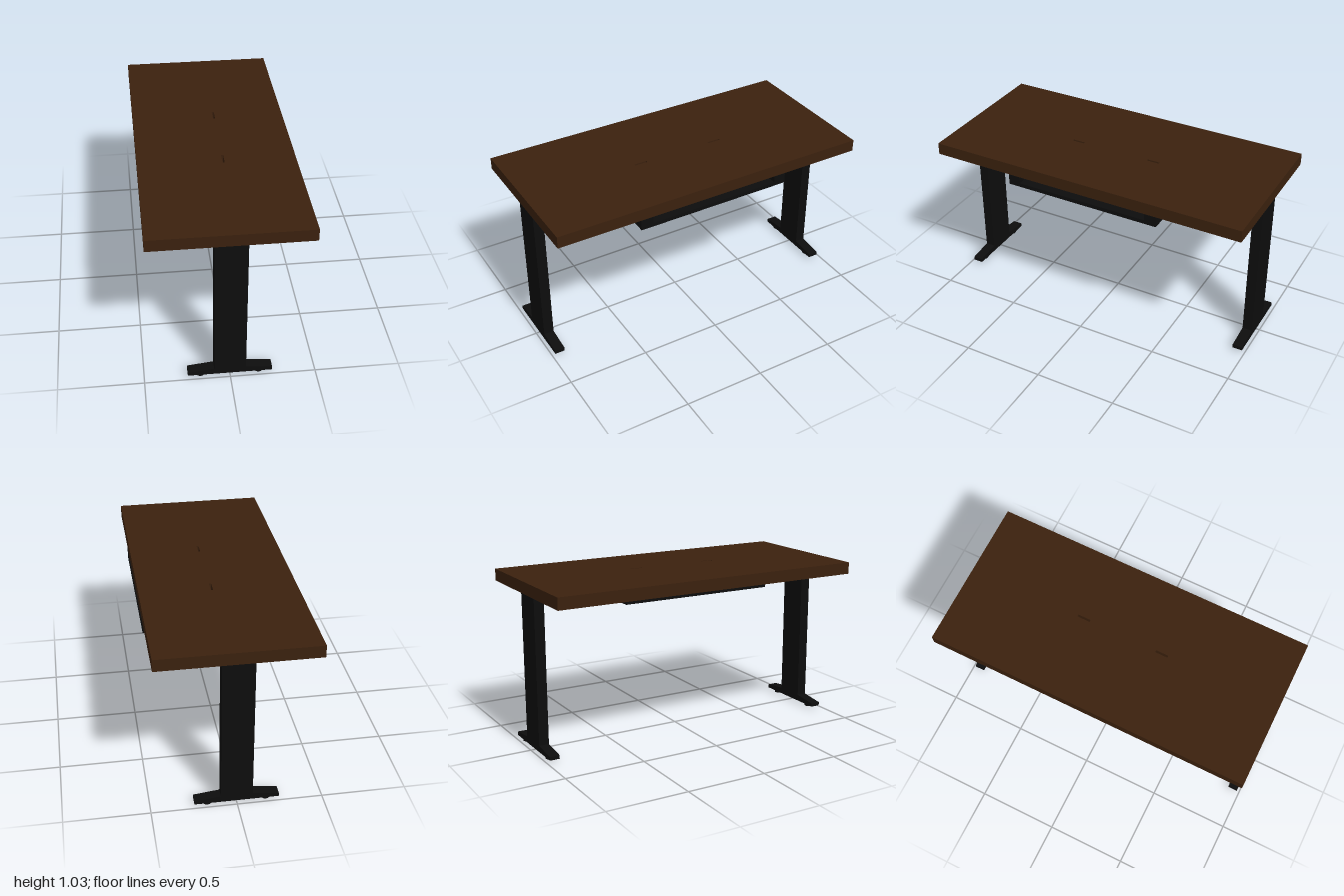
import * as THREE from 'three';

export function createModel() {
  const wood = new THREE.MeshStandardMaterial({ name: 'darkWood', color: 0x3b210e });
  const metal = new THREE.MeshStandardMaterial({ name: 'blackMetal', color: 0x0d0d0d });
  const model = new THREE.Group();
  model.name = 'desk';

  const add = (parent, name, geometry, material, x, y, z) => {
    const mesh = new THREE.Mesh(geometry, material);
    mesh.name = name;
    mesh.position.set(x, y, z);
    parent.add(mesh);
    return mesh;
  };
  const polygon = (points) => new THREE.Shape(points.map(([x, y]) => new THREE.Vector2(x, y)));
  const rect = (x0, y0, x1, y1) => [[x0, y0], [x1, y0], [x1, y1], [x0, y1]];

  // Table top with two narrow slots
  const outline = polygon(rect(-0.468, -1, 0.465, 1));
  for (const z of [-0.255, 0.255]) {
    outline.holes.push(polygon(rect(0.03, z - 0.04, 0.043, z + 0.04)));
  }
  const topGeometry = new THREE.ExtrudeGeometry(outline, { depth: 0.073, bevelEnabled: false });
  topGeometry.rotateX(-Math.PI / 2);
  add(model, 'tableTop', topGeometry, wood, 0, 0.955, 0);

  // Shallow tray under the top: floor between two side rails, open at both ends
  const tray = new THREE.Group();
  tray.name = 'tray';
  model.add(tray);
  add(tray, 'trayFloor', new THREE.BoxGeometry(0.746, 0.024, 0.84), metal, 0.093, 0.902, 0);
  for (const side of [-1, 1]) {
    add(tray, 'trayRail', new THREE.BoxGeometry(0.746, 0.065, 0.075), metal, 0.093, 0.9225, side * 0.451);
  }

  // Leg assemblies at both ends: column, sloped foot and round pads
  const footShape = polygon([
    [-0.247, 0.015], [0.247, 0.015], [0.247, 0.037],
    [0.093, 0.055], [-0.093, 0.055], [-0.247, 0.037],
  ]);
  const footGeometry = new THREE.ExtrudeGeometry(footShape, { depth: 0.062, bevelEnabled: false });
  footGeometry.translate(0, 0, -0.031);
  const columnGeometry = new THREE.BoxGeometry(0.186, 0.905, 0.062);
  const padGeometry = new THREE.CylinderGeometry(0.025, 0.025, 0.015, 24);
  for (const side of [-1, 1]) {
    const leg = new THREE.Group();
    leg.name = 'leg';
    leg.position.z = side * 0.952;
    model.add(leg);
    add(leg, 'column', columnGeometry, metal, 0, 0.5025, 0);
    add(leg, 'foot', footGeometry, metal, 0, 0, 0);
    for (const x of [-0.172, 0.17]) add(leg, 'footPad', padGeometry, metal, x, 0.0075, 0);
  }
  return model;
}
